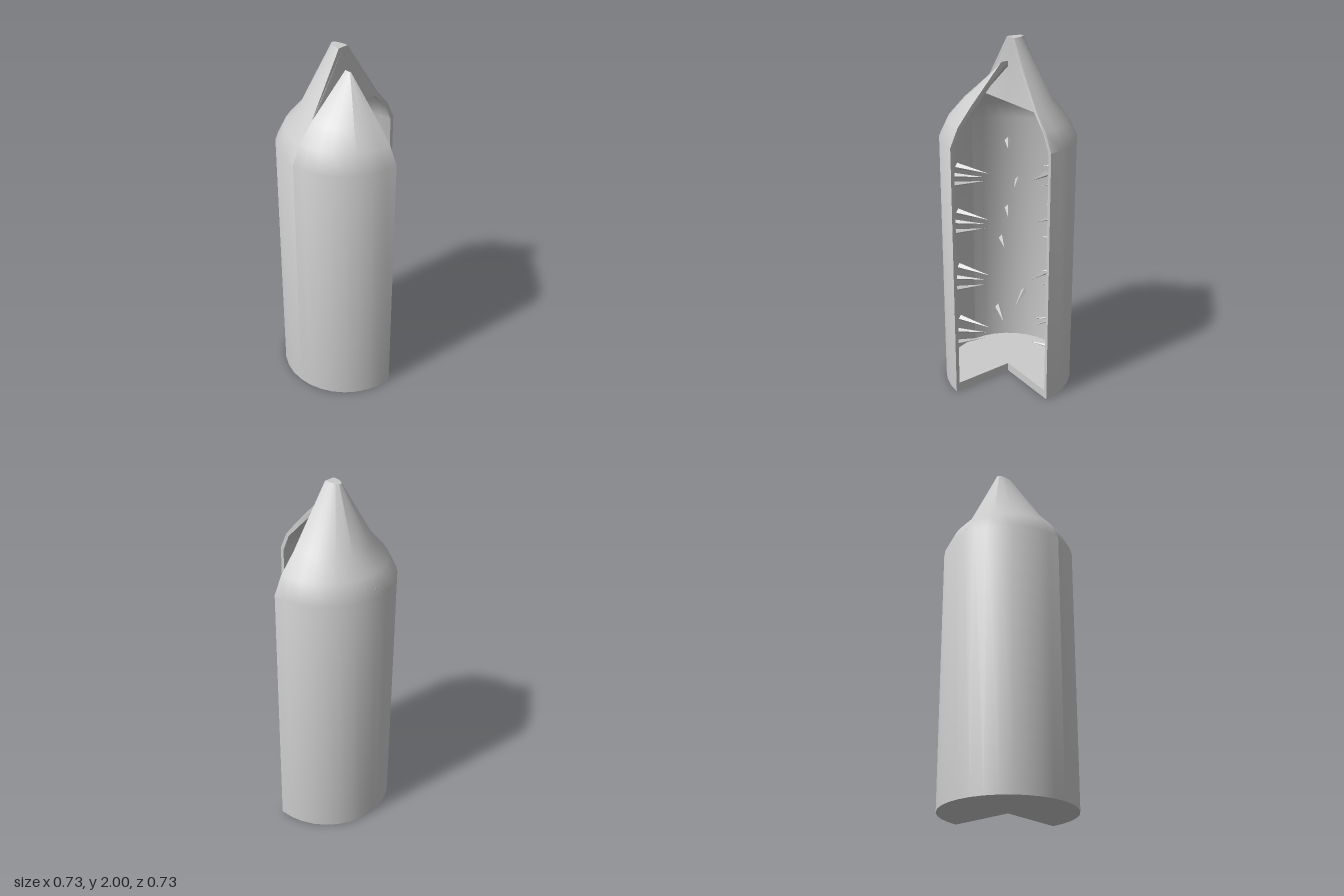
import * as THREE from 'three';
import { mergeGeometries, toCreasedNormals } from 'three/addons/utils/BufferGeometryUtils.js';

const grey = new THREE.MeshStandardMaterial({ color: 0xcccccc, side: THREE.DoubleSide });
const spikeGrey = new THREE.MeshStandardMaterial({ color: 0xcccccc, flatShading: true });
const INNER = 0.345;

// Sweep a closed wall section about the y axis, close both cut ends, then reshape the tip
function sector(name, section, start, sweep, segments, reshape) {
  const points = section.map(([r, y]) => new THREE.Vector2(r, y));
  const swept = new THREE.LatheGeometry([...points, points[0]], segments, start, sweep);
  const cap = (phi, flip) => {
    const g = new THREE.ShapeGeometry(new THREE.Shape(points));
    if (flip) g.index.array.reverse();
    return g.rotateY(phi - Math.PI / 2);
  };
  const parts = [swept, cap(start, false), cap(start + sweep, true)].map((g) => {
    const p = g.attributes.position;
    const v = new THREE.Vector3();
    for (let i = 0; i < p.count; i++) {
      reshape(v.fromBufferAttribute(p, i));
      p.setXYZ(i, v.x, v.y, v.z);
    }
    return g.toNonIndexed();
  });
  const mesh = new THREE.Mesh(toCreasedNormals(mergeGeometries(parts), 0.8), grey);
  mesh.name = name;
  return mesh;
}

// Spike on the inner wall, pointing at the axis
function spike(degrees, y, length) {
  const g = new THREE.ConeGeometry(0.02, length, 4);
  g.rotateX(-Math.PI / 2);
  g.translate(0, 0, INNER + 0.005 - length / 2);
  g.rotateY(THREE.MathUtils.degToRad(degrees));
  const mesh = new THREE.Mesh(g, spikeGrey);
  mesh.position.y = y;
  mesh.name = 'spike';
  return mesh;
}

export function createModel() {
  const model = new THREE.Group();
  model.name = 'spikedCabinet';

  const outerWall = [[0, 0], [0.366, 0], [0.366, 1.48], [0.318, 1.58], [0.235, 1.677]];
  const innerWall = [[0.3, 1.57], [INNER, 1.47], [INNER, 0.05], [0, 0.05]];

  // Half shell with a solid, flattened conical cap
  const tip = 0.095;
  model.add(sector('halfShell',
    [...outerWall, [tip, 2], [0, 2], [0, 1.66], [0.22, 1.66], ...innerWall],
    Math.PI, Math.PI, 16, (v) => {
      if (v.y > 1.9) {
        v.x = -0.015 + v.x * 0.08 / tip;
        v.z *= 0.03 / tip;
      }
    }));

  // Quarter shell with a hollow pointed hood
  model.add(sector('quarterShell',
    [...outerWall, [0.042, 1.88], [0, 1.88], [0, 1.853], [0.025, 1.853], [0.215, 1.66], ...innerWall],
    0, Math.PI / 2, 8, (v) => {
      if (v.y > 1.8) v.z = 0;
    }));

  // Spikes of the half shell: angle, height, length; mirrored front to back
  const halfSpikes = new THREE.Group();
  halfSpikes.name = 'halfShellSpikes';
  const rows = [
    [216, 1.33, 0.15], [226, 1.09, 0.14], [216, 0.91, 0.15], [210, 0.715, 0.15],
    [233, 0.36, 0.2], [206, 0.245, 0.2], [256, 1.155, 0.15], [258, 0.53, 0.15],
  ];
  for (const [a, y, l] of rows) halfSpikes.add(spike(a, y, l), spike(540 - a, y, l));
  for (const y of [1.5, 0.915, 0.24]) halfSpikes.add(spike(270, y, 0.15));
  model.add(halfSpikes);

  // Longer spikes of the quarter shell
  const quarterSpikes = new THREE.Group();
  quarterSpikes.name = 'quarterShellSpikes';
  for (const y of [1.23, 0.95, 0.6, 0.25]) {
    for (const a of [20, 45, 70]) quarterSpikes.add(spike(a, y, 0.22));
  }
  model.add(quarterSpikes);

  return model;
}
